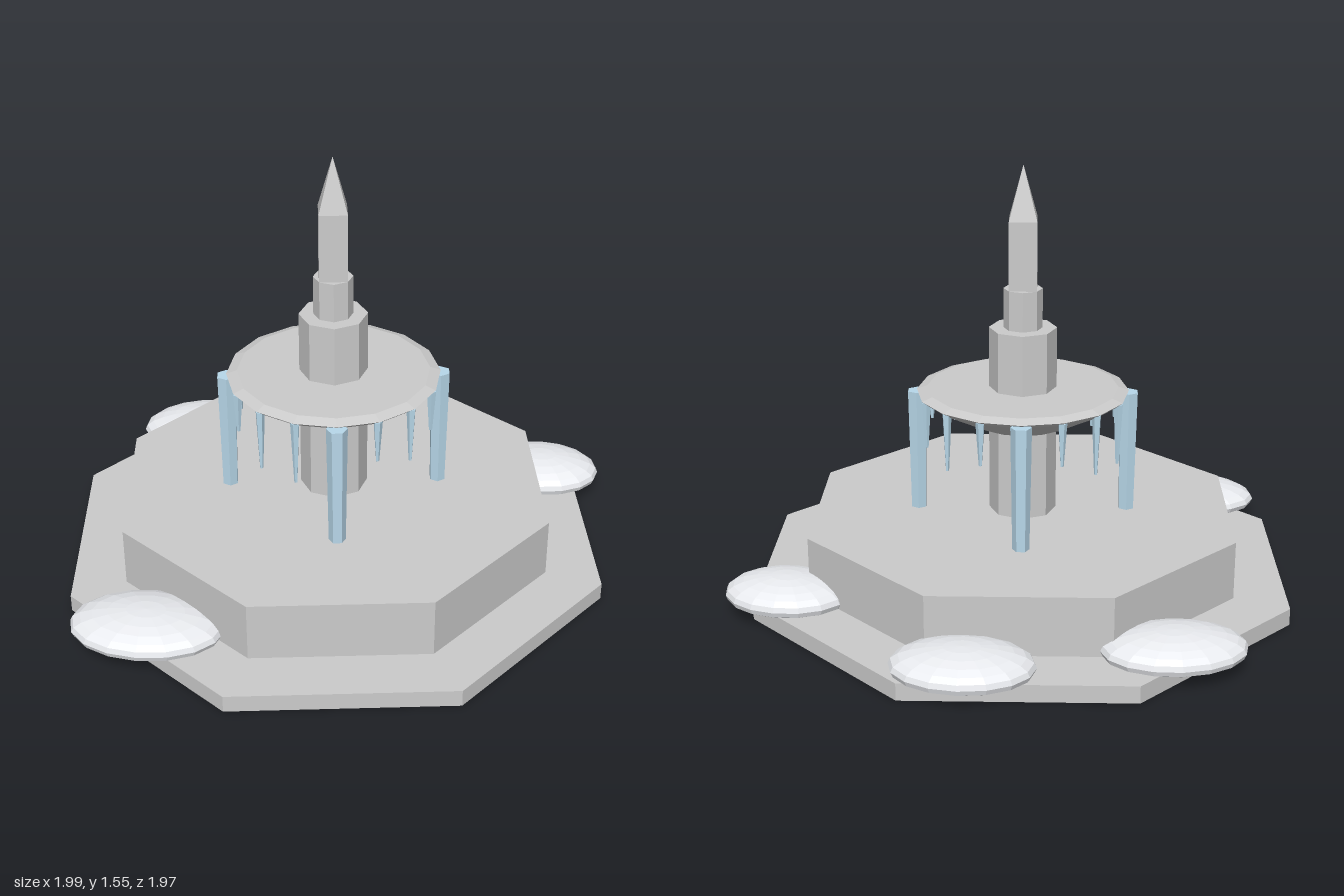
import * as THREE from 'three';

const stone = new THREE.MeshStandardMaterial({ color: 0xcccccc, flatShading: true });
const ice = new THREE.MeshStandardMaterial({ color: 0xb8d8ea, flatShading: true });
const snow = new THREE.MeshStandardMaterial({ color: 0xe8eaee, flatShading: true });

// Faceted prism or cone standing between two heights
function prism(name, rTop, rBottom, y0, y1, sides, turn = 0, material = stone) {
  const mesh = new THREE.Mesh(new THREE.CylinderGeometry(rTop, rBottom, y1 - y0, sides), material);
  mesh.name = name;
  mesh.position.y = (y0 + y1) / 2;
  mesh.rotation.y = turn;
  return mesh;
}

// Flattened ellipsoid with its underside cut flat
function snowMound(x, z, rx, rz, turn) {
  const geometry = new THREE.SphereGeometry(1, 16, 12);
  const p = geometry.attributes.position;
  for (let i = 0; i < p.count; i++) p.setY(i, Math.max(p.getY(i), -0.4));
  geometry.scale(rx, 0.07, rz);
  geometry.computeVertexNormals();
  const mesh = new THREE.Mesh(geometry, snow);
  mesh.name = 'snowMound';
  mesh.position.set(x, 0.083, z);
  mesh.rotation.y = turn;
  return mesh;
}

export function createModel() {
  const model = new THREE.Group();
  model.name = 'frozenFountain';

  const fountain = new THREE.Group();
  fountain.name = 'fountain';
  fountain.position.set(-0.057, 0, 0.039);
  model.add(fountain);

  // Octagonal steps, flat side to the front
  fountain.add(prism('baseStep', 1.022, 1.022, 0, 0.062, 8, Math.PI / 8));
  fountain.add(prism('basinBlock', 0.816, 0.816, 0.062, 0.277, 8, Math.PI / 8));

  // Column and spire
  fountain.add(prism('column', 0.122, 0.122, 0.277, 0.968, 8));
  fountain.add(prism('upperColumn', 0.07, 0.07, 0.968, 1.112, 8));
  fountain.add(prism('spireShaft', 0.0705, 0.0705, 1.112, 1.36, 4, Math.PI / 4));
  fountain.add(prism('spireTip', 0, 0.0705, 1.36, 1.553, 4, Math.PI / 4));

  // Shallow bowl with a bevelled rim
  const profile = [[0, 0.62], [0.18, 0.62], [0.365, 0.718], [0.383, 0.733], [0.345, 0.746], [0, 0.746]];
  const bowl = new THREE.Mesh(
    new THREE.LatheGeometry(profile.map(([r, y]) => new THREE.Vector2(r, y)), 16), stone);
  bowl.name = 'bowl';
  fountain.add(bowl);

  // Ring of ice: frozen streams on the axes, short icicles between them
  // Tip heights run from the front round through the model's left
  const tips = [0, 0.57, 0.52, 0.57, 0, 0.56, 0.52, 0.57, 0, 0.57, 0.51, 0.505, 0, 0.58, 0.5, 0.49];
  tips.forEach((tip, i) => {
    const angle = i * Math.PI / 8;
    const large = i % 4 === 0;
    const piece = large
      ? prism('frozenStream', 0.037, 0.03, 0.277, 0.728, 6, 0, ice)
      : prism('icicle', 0.017, 0.006, tip, 0.728, 5, angle, ice);
    if (large) piece.rotation.y = angle + Math.PI / 6;
    const r = large ? 0.382 : 0.367;
    piece.position.x = r * Math.sin(angle);
    piece.position.z = r * Math.cos(angle);
    fountain.add(piece);
  });

  // Snow heaped around the lower step
  model.add(snowMound(-0.715, 0.63, 0.27, 0.175, -0.15));
  model.add(snowMound(0.77, -0.305, 0.225, 0.168, -0.15));
  model.add(snowMound(0.125, -0.82, 0.243, 0.17, -0.05));
  model.add(snowMound(-0.57, -0.688, 0.248, 0.166, 0.1));

  return model;
}
